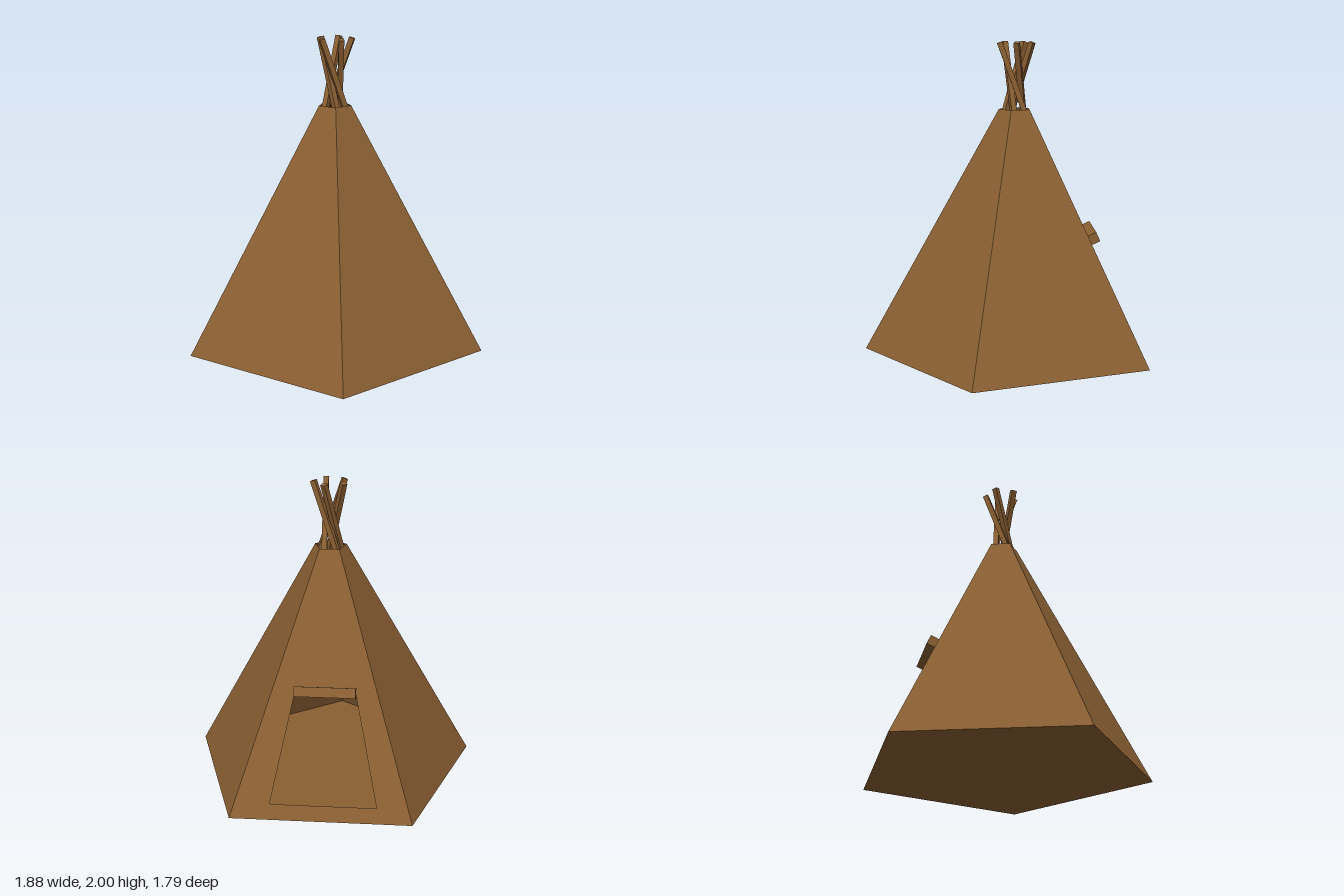
import * as THREE from 'three';

const SIDES = 5;
const STEP = (Math.PI * 2) / SIDES;
const RADIUS = 0.987, RIM = 0.107, HEIGHT = 1.57;
const CENTER_Z = 0.09;

export function createModel() {
  const canvas = new THREE.MeshStandardMaterial({ color: 0x8b6033, side: THREE.DoubleSide, flatShading: true });
  canvas.name = 'brown hide';

  const model = new THREE.Group();
  model.name = 'tent';
  const body = new THREE.Group();
  body.name = 'body';
  body.position.z = CENTER_Z;
  model.add(body);

  const add = (parent, name, geometry) => {
    const mesh = new THREE.Mesh(geometry, canvas);
    mesh.name = name;
    parent.add(mesh);
    return mesh;
  };
  const points = (list) => list.map(([x, y]) => new THREE.Vector2(x, y));

  // Panel measurements: distance from axis and half width, bottom and top
  const half = Math.PI / SIDES;
  const dBottom = RADIUS * Math.cos(half), dTop = RIM * Math.cos(half);
  const wBottom = RADIUS * Math.sin(half), wTop = RIM * Math.sin(half);
  const slope = (dBottom - dTop) / HEIGHT;
  const stretch = Math.hypot(1, slope); // panel length per unit of height

  // Five sloping wall panels, one with a doorway
  for (let i = 0; i < SIDES; i++) {
    const side = new THREE.Group();
    side.name = 'wallSide';
    side.rotation.y = i * STEP;
    body.add(side);

    const tilted = new THREE.Group();
    tilted.name = 'slopingWall';
    tilted.position.z = dBottom;
    tilted.rotation.x = -Math.atan(slope);
    side.add(tilted);

    const top = HEIGHT * stretch;
    const shape = new THREE.Shape(points([[-wBottom, 0], [wBottom, 0], [wTop, top], [-wTop, top]]));
    if (i === 2) {
      const low = 0.09 * stretch, high = 0.73 * stretch;
      shape.holes.push(new THREE.Path(points([[-0.325, low], [-0.19, high], [0.2, high], [0.353, low]])));

      // Rolled door flap above the doorway
      const roll = add(tilted, 'rolledFlap', new THREE.BoxGeometry(0.39, 0.064, 0.062));
      roll.position.set(0.005, 0.741 * stretch, 0.03);
    }
    add(tilted, 'wallPanel', new THREE.ShapeGeometry(shape));
  }

  // Floor
  const floor = new THREE.CircleGeometry(RADIUS, SIDES, Math.PI / 2);
  floor.rotateX(-Math.PI / 2);
  add(body, 'floor', floor);

  // Crossed poles sticking out of the smoke hole
  const foot = new THREE.Vector3(-0.035, 1.5, 0.075);
  const tip = new THREE.Vector3(-0.035, 1.994, -0.102);
  const along = tip.clone().sub(foot);
  for (let i = 0; i < SIDES; i++) {
    const turn = new THREE.Group();
    turn.name = 'poleTurn';
    turn.rotation.y = i * STEP;
    body.add(turn);
    const pole = add(turn, 'pole', new THREE.BoxGeometry(0.034, along.length(), 0.034));
    pole.position.copy(foot).add(tip).multiplyScalar(0.5);
    pole.rotation.x = Math.atan2(along.z, along.y);
  }

  return model;
}
